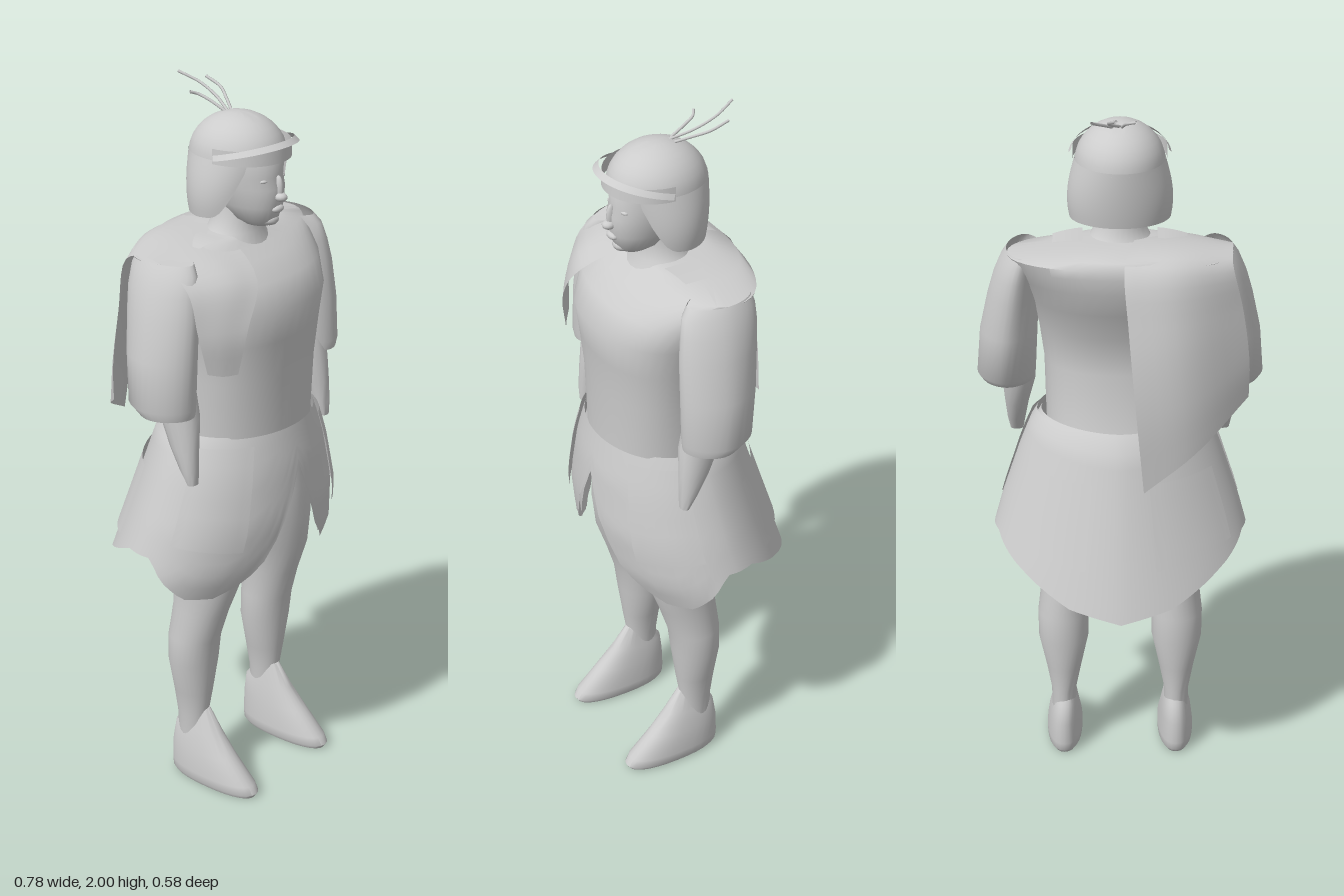
import * as THREE from 'three';
import { mergeVertices, toCreasedNormals } from 'three/addons/utils/BufferGeometryUtils.js';

const RAD = Math.PI / 180;
const grey = new THREE.MeshStandardMaterial({ color: 0xcccccc, side: THREE.DoubleSide });
grey.name = 'plain grey';

// Piecewise linear lookup in a list of [key, value] pairs, keys ascending
function lookup(table, k) {
  if (k <= table[0][0]) return table[0][1];
  for (let i = 1; i < table.length; i++) {
    const [k0, v0] = table[i - 1], [k1, v1] = table[i];
    if (k <= k1) return v0 + (v1 - v0) * (k - k0) / (k1 - k0);
  }
  return table[table.length - 1][1];
}

// Grid surface from point(u, v), u to the right and v upwards
function patch(point, nu, nv, crease = 1) {
  const pos = [], index = [];
  for (let j = 0; j <= nv; j++)
    for (let i = 0; i <= nu; i++) pos.push(...point(i / nu, j / nv));
  for (let j = 0; j < nv; j++)
    for (let i = 0; i < nu; i++) {
      const a = j * (nu + 1) + i, d = a + nu + 1;
      index.push(a, a + 1, d + 1, a, d + 1, d);
    }
  let geo = new THREE.BufferGeometry();
  geo.setAttribute('position', new THREE.Float32BufferAttribute(pos, 3));
  geo.setIndex(index);
  geo = mergeVertices(geo, 1e-5);
  geo.computeVertexNormals();
  return toCreasedNormals(geo, crease);
}

// Point on a rounded section at angle t from the front
function section(t, cx, rx, zBack, zFront, n = 2) {
  const s = Math.sin(t), c = Math.cos(t), p = 2 / n;
  return [cx + rx * Math.sign(s) * Math.abs(s) ** p,
    (zBack + zFront) / 2 + (zFront - zBack) / 2 * Math.sign(c) * Math.abs(c) ** p];
}

// Closed body from rings [y, centreX, radiusX, zBack, zFront], rising in y
function loft(rings, { n = 2, side = 1, caps = true, seg = 28 } = {}) {
  const list = rings.slice();
  if (caps) {
    const flat = ([y, cx, , b, f]) => [y, cx, 0, (b + f) / 2, (b + f) / 2];
    list.unshift(flat(rings[0]));
    list.push(flat(rings[rings.length - 1]));
  }
  return patch((u, v) => {
    const [y, cx, rx, b, f] = list[Math.round(v * (list.length - 1))];
    const [x, z] = section(u * 2 * Math.PI, cx * side, rx, b, f, n);
    return [x, y, z];
  }, seg, list.length - 1);
}

// Flared skirt surface at angle t (degrees from the front) and height y
const skirtWidth = [[0.6, 0.385], [0.72, 0.368], [0.85, 0.33], [1, 0.278], [1.07, 0.25], [1.1, 0.23]];
const skirtFront = [[0.6, 0.215], [0.66, 0.245], [0.72, 0.272], [0.85, 0.29], [1, 0.278], [1.1, 0.258]];
const skirtBack = [[0.61, -0.29], [1.07, -0.145], [1.1, -0.115]];
const skirtHem = [[0, 0.99], [8, 0.89], [18, 0.75], [28, 0.68], [40, 0.645], [56, 0.655],
  [72, 0.71], [84, 0.77], [105, 0.77], [130, 0.71], [155, 0.64], [180, 0.61]];
function skirtPoint(t, y, off = 0) {
  const c = Math.cos(t * RAD);
  const [x, z] = section(t * RAD, 0, lookup(skirtWidth, y) + off,
    lookup(skirtBack, y) - off, lookup(skirtFront, y) + off, c < 0 ? 1.75 : 2);
  return [x, y, z];
}

export function createModel() {
  const model = new THREE.Group();
  model.name = 'warrior';
  const add = (name, geo) => {
    const mesh = new THREE.Mesh(geo, grey);
    mesh.name = name;
    model.add(mesh);
    return mesh;
  };

  // Torso, neck and hips
  add('torso', loft([
    [1.08, 0, 0.204, -0.095, 0.25], [1.25, 0, 0.208, -0.05, 0.25], [1.36, 0, 0.222, -0.065, 0.26],
    [1.45, 0, 0.245, -0.11, 0.27], [1.52, 0, 0.272, -0.134, 0.235], [1.565, 0, 0.292, -0.142, 0.18],
    [1.59, 0, 0.3, -0.14, 0.145], [1.608, 0, 0.2, -0.13, 0.12], [1.62, 0, 0.08, -0.06, 0.11],
  ], { n: 2.2, seg: 40 }));
  add('neck', loft([[1.58, 0, 0.12, -0.05, 0.15], [1.62, 0, 0.08, -0.015, 0.13],
    [1.66, 0, 0.06, 0, 0.125], [1.72, 0, 0.058, 0, 0.13]]));
  add('hips', loft([[0.86, 0, 0.05, 0, 0.13], [0.9, 0, 0.14, -0.04, 0.18],
    [1, 0, 0.19, -0.06, 0.21], [1.08, 0, 0.19, -0.07, 0.22]]));

  // Head with simple features
  add('head', loft([
    [1.645, 0, 0.03, 0.09, 0.17], [1.662, 0, 0.05, 0.05, 0.188], [1.7, 0, 0.068, 0, 0.2],
    [1.75, 0, 0.08, -0.03, 0.203], [1.78, 0, 0.084, -0.04, 0.195], [1.82, 0, 0.085, -0.04, 0.198],
    [1.87, 0, 0.08, -0.03, 0.17],
  ], { n: 2.1 }));
  const ball = new THREE.SphereGeometry(1, 12, 8);
  const bump = (name, x, y, z, sx, sy, sz) => {
    const mesh = add(name, ball);
    mesh.position.set(x, y, z);
    mesh.scale.set(sx, sy, sz);
  };
  bump('noseBridge', 0, 1.75, 0.198, 0.009, 0.035, 0.014);
  bump('noseTip', 0, 1.728, 0.206, 0.017, 0.012, 0.018);
  bump('lips', 0, 1.695, 0.197, 0.022, 0.01, 0.012);
  bump('chin', 0, 1.662, 0.172, 0.026, 0.016, 0.022);

  // Helmet: dome, flared neck guard and brow band
  add('helmetDome', patch((u, v) => {
    const a = v * Math.PI / 2, r = Math.cos(a);
    return [0.12 * r * Math.sin(u * 2 * Math.PI), 1.82 + 0.112 * Math.sin(a),
      0.066 + 0.134 * r * Math.cos(u * 2 * Math.PI)];
  }, 32, 8));
  const guardHem = [[44, 1.8], [52, 1.74], [62, 1.7], [74, 1.68], [100, 1.675], [180, 1.675]];
  add('neckGuard', patch((u, v) => {
    const t = 44 + u * 272, y0 = lookup(guardHem, t > 180 ? 360 - t : t);
    const y = y0 + (1.83 - y0) * v, drop = (1.83 - y) / 0.155;
    const flare = 0.02 * Math.sin(drop * 2.3), tuck = 0.014 * drop * drop;
    const [x, z] = section(t * RAD, 0, 0.12 + flare, -0.068 + tuck, 0.2 - 0.035 * drop);
    return [x, y, z];
  }, 40, 8));
  const brow = (name, y, h, off, tilt) => add(name, patch((u, v) => {
    const t = (u - 0.5) * 176 * RAD, lift = Math.cos(t) * tilt;
    const [x, z] = section(t, 0, 0.123 + off * 0.5 * (1 - v * 0.6), -0.06, 0.206 + off * (1 - v * 0.6));
    return [x, y + lift + h * v, z];
  }, 28, 2));
  brow('browBand', 1.822, 0.04, 0.005, 0);
  brow('visor', 1.832, 0.012, 0.026, 0.036);

  // Three plumes curling back from the crown
  [[[0, 1.925, 0.03], [0.025, 1.95, -0.03], [0.03, 1.975, -0.09], [0.012, 1.997, -0.145]],
    [[0.02, 1.925, 0.025], [0.045, 1.942, -0.01], [0.07, 1.96, -0.05], [0.073, 1.978, -0.1]],
    [[-0.005, 1.925, 0.025], [-0.012, 1.947, -0.02], [-0.022, 1.96, -0.05], [-0.04, 1.967, -0.062]],
  ].forEach((pts) => {
    const curve = new THREE.CatmullRomCurve3(pts.map((p) => new THREE.Vector3(...p)));
    add('plume', new THREE.TubeGeometry(curve, 14, 0.004, 6));
  });

  for (const side of [1, -1]) {
    const tag = side > 0 ? 'left' : 'right';
    bump(tag + 'Eye', side * 0.034, 1.773, 0.178, 0.016, 0.006, 0.01);

    // Arms
    add(tag + 'Sleeve', loft([
      [1.195, 0.308, 0.072, -0.005, 0.158], [1.22, 0.311, 0.08, -0.035, 0.162], [1.35, 0.302, 0.078, -0.05, 0.162],
      [1.46, 0.287, 0.069, -0.062, 0.158], [1.52, 0.277, 0.062, -0.068, 0.15], [1.57, 0.265, 0.053, -0.068, 0.14],
      [1.594, 0.255, 0.048, -0.062, 0.12],
    ], { side, caps: false, n: 1.8 }));
    add(tag + 'Forearm', loft([
      [1, 0.29, 0.018, 0.135, 0.16], [1.04, 0.29, 0.025, 0.11, 0.162], [1.1, 0.287, 0.033, 0.075, 0.16],
      [1.18, 0.28, 0.046, 0.04, 0.155], [1.3, 0.28, 0.05, 0.02, 0.13],
    ], { side, seg: 16 }));

    // Legs and shoes
    add(tag + 'Leg', loft([
      [0.08, 0.165, 0.034, 0, 0.08], [0.2, 0.165, 0.036, -0.006, 0.088], [0.28, 0.164, 0.051, -0.015, 0.1],
      [0.38, 0.164, 0.072, -0.027, 0.112], [0.46, 0.164, 0.073, -0.026, 0.122], [0.55, 0.158, 0.068, -0.018, 0.15],
      [0.65, 0.15, 0.082, -0.015, 0.185], [0.75, 0.135, 0.102, -0.025, 0.2], [0.85, 0.12, 0.115, -0.04, 0.2],
      [1, 0.11, 0.1, -0.03, 0.18],
    ], { side }));
    add(tag + 'Shoe', loft([
      [0, 0.165, 0.045, -0.015, 0.262], [0.012, 0.165, 0.052, -0.024, 0.27], [0.035, 0.165, 0.052, -0.026, 0.258],
      [0.1, 0.165, 0.045, -0.024, 0.192], [0.16, 0.162, 0.035, -0.016, 0.14], [0.225, 0.16, 0.018, 0.04, 0.095],
    ], { n: 2.3, side }));

    // Collar tabs and panels laid over the skirt
    add(tag + 'Collar', patch((u, v) => [side * (0.1 + 0.08 * u), 1.62 - 0.01 * u * u,
      0.05 + (v - 0.5) * 0.1 * (1 - 0.35 * u)], 4, 4));
    const panel = (name, t0, t1, y0, y1) => add(tag + name, patch((u, v) => {
      const t = t0 + (t1 - t0) * u;
      return skirtPoint(side * t, y0 + (y1 - y0) * v + 0.03 * u * (1 - v), 0.01);
    }, 8, 6));
    panel('FrontPanel', 34, 74, 0.79, 1.08);
    panel('BackPanel', 162, 120, 0.75, 0.98);
  }

  // Skirt with split front flaps, and a shorter lining inside
  const skirt = (name, off, rise) => add(name, patch((u, v) => {
    const t = (u - 0.5) * 360, y0 = lookup(skirtHem, Math.abs(t)) + rise;
    return skirtPoint(t, y0 + (1.1 - y0) * v, off);
  }, 72, 12));
  skirt('skirt', 0, 0);
  skirt('skirtLining', -0.012, 0.02);

  // Cape over the right shoulder, from chest lapel to pointed back
  const edges = [
    [[-0.21, 1.31, 0.235], [-0.19, 1.43, 0.25], [-0.12, 1.54, 0.225], [-0.05, 1.62, 0.04],
      [-0.01, 1.6, -0.138], [-0.02, 1.45, -0.205], [-0.04, 1.23, -0.265], [-0.06, 1.02, -0.29]],
    [[-0.245, 1.31, 0.215], [-0.25, 1.43, 0.215], [-0.2, 1.55, 0.195], [-0.18, 1.615, 0.03],
      [-0.15, 1.596, -0.128], [-0.17, 1.45, -0.175], [-0.19, 1.25, -0.205], [-0.2, 1.1, -0.215]],
    [[-0.28, 1.32, 0.19], [-0.3, 1.43, 0.175], [-0.3, 1.54, 0.14], [-0.3, 1.6, 0.03],
      [-0.295, 1.58, -0.068], [-0.325, 1.45, -0.07], [-0.345, 1.3, -0.075], [-0.345, 1.2, -0.075]],
  ].map((pts) => new THREE.CatmullRomCurve3(pts.map((p) => new THREE.Vector3(...p))));
  add('cape', patch((u, v) => {
    const [a, b, c] = edges.map((e) => e.getPoint(v));
    return new THREE.CatmullRomCurve3([c, b, a]).getPoint(u).toArray();
  }, 10, 35));

  return model;
}
